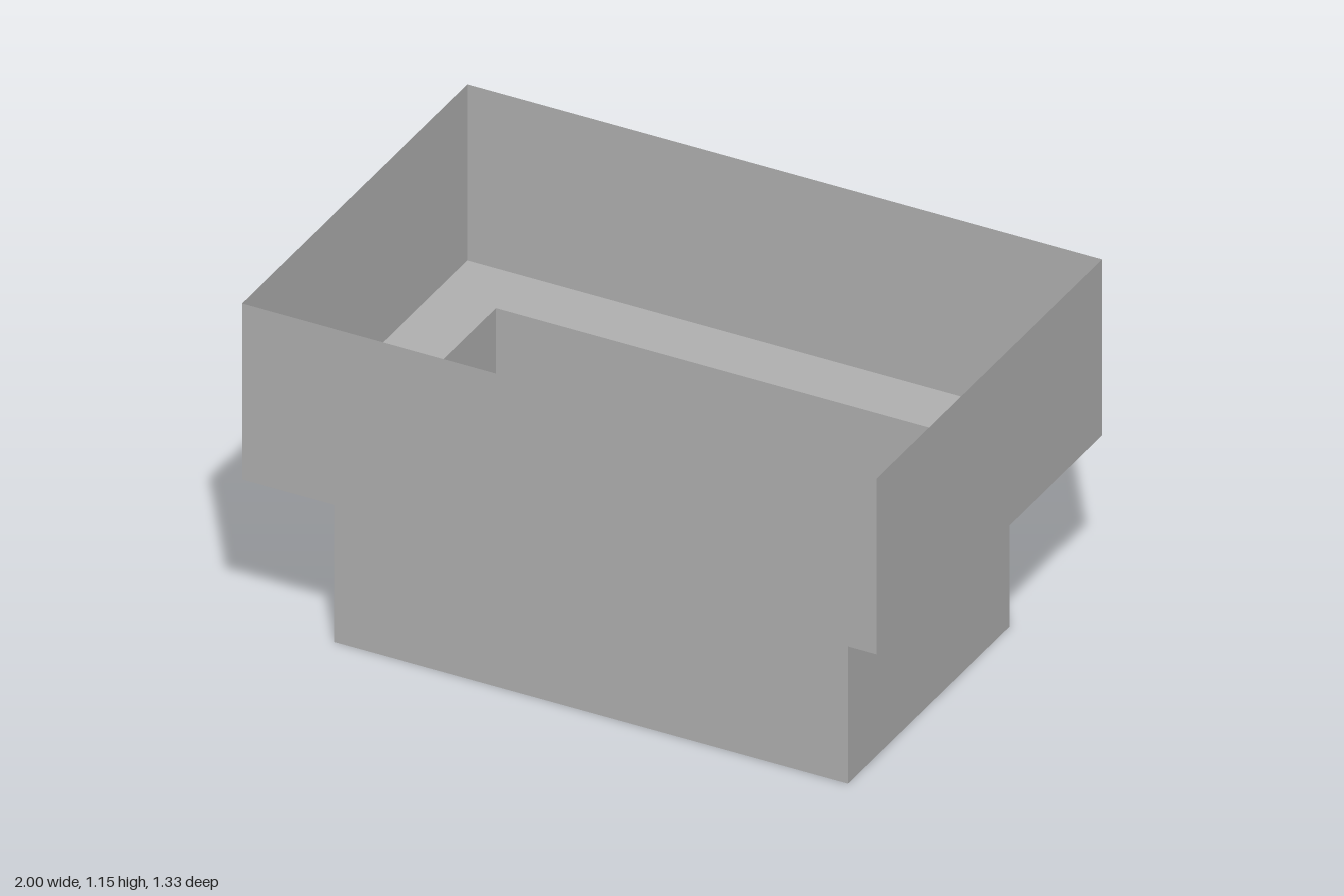
import * as THREE from 'three';

const grey = new THREE.MeshStandardMaterial({ color: 0xb2b2b2, side: THREE.DoubleSide });
grey.name = 'grey';

// Half sizes of the two rectangular sleeves and the three levels
const OUTER = { x: 1, z: 0.667 };
const INNER = { x: 0.809, z: 0.478 };
const LEDGE_Y = 0.575;
const TOP_Y = 1.147;

// Four thin upright walls, open above and below
function sleeve(name, half, y0, y1) {
  const group = new THREE.Group();
  group.name = name;
  ['front', 'left', 'back', 'right'].forEach((side, i) => {
    const [width, distance] = i % 2 ? [half.z * 2, half.x] : [half.x * 2, half.z];
    const geometry = new THREE.PlaneGeometry(width, y1 - y0)
      .translate(0, (y0 + y1) / 2, distance)
      .rotateY(i * Math.PI / 2);
    const wall = new THREE.Mesh(geometry, grey);
    wall.name = `${side}Wall`;
    group.add(wall);
  });
  return group;
}

function rectangle(path, { x, z }) {
  return path.moveTo(-x, -z).lineTo(x, -z).lineTo(x, z).lineTo(-x, z).closePath();
}

export function createModel() {
  const model = new THREE.Group();
  model.name = 'steppedFrame';

  model.add(sleeve('upperSleeve', OUTER, LEDGE_Y, TOP_Y));
  model.add(sleeve('lowerSleeve', INNER, 0, LEDGE_Y));

  // Flat ledge joining the sleeves around the opening
  const shape = rectangle(new THREE.Shape(), OUTER);
  shape.holes.push(rectangle(new THREE.Path(), INNER));
  const ledge = new THREE.Mesh(
    new THREE.ShapeGeometry(shape).rotateX(-Math.PI / 2).translate(0, LEDGE_Y, 0), grey);
  ledge.name = 'ledge';
  model.add(ledge);

  return model;
}
